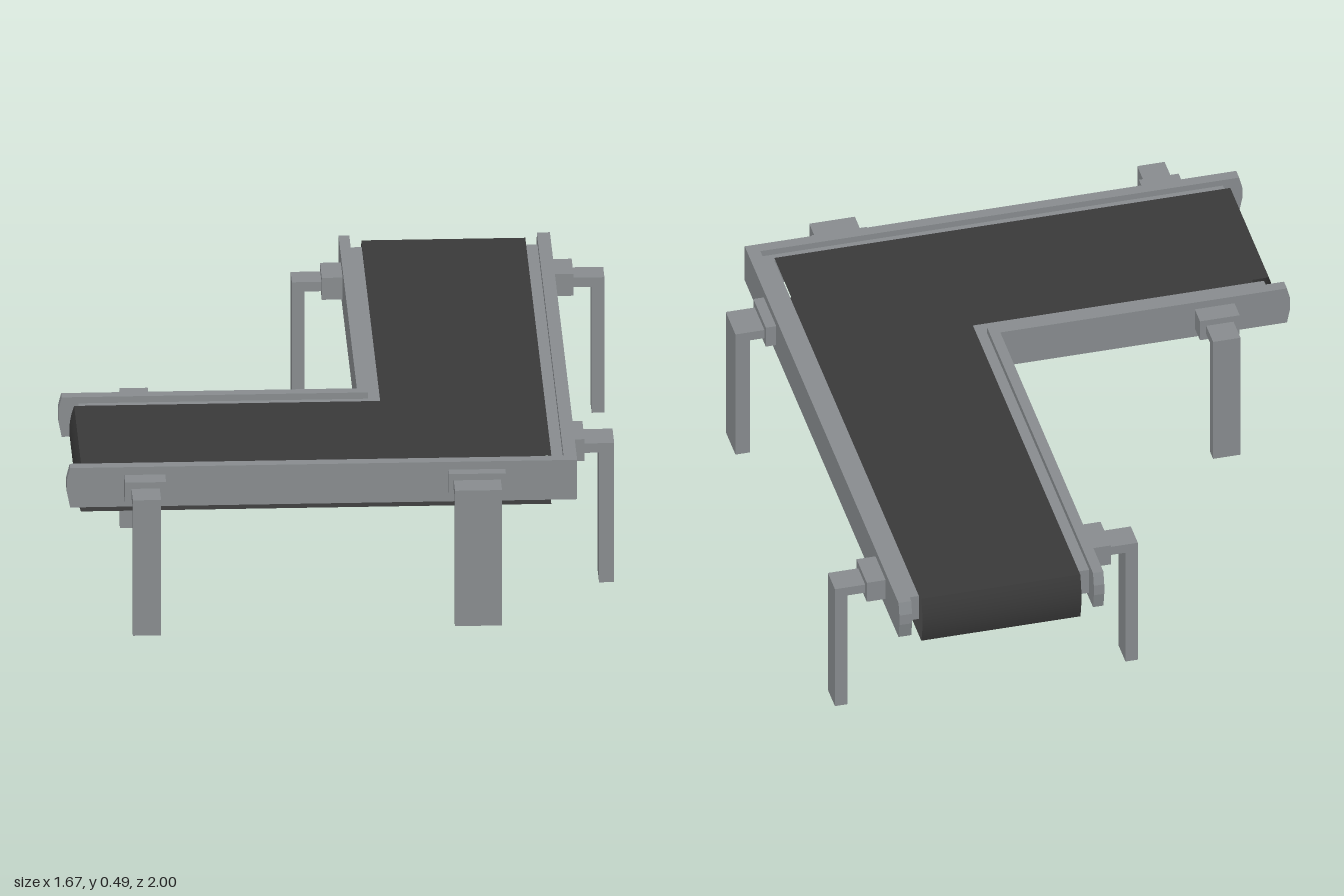
import * as THREE from 'three';

const frameGrey = new THREE.MeshStandardMaterial({ color: 0x888c8f });
frameGrey.name = 'frame grey';
const beltBlack = new THREE.MeshStandardMaterial({ color: 0x393939, side: THREE.DoubleSide });
beltBlack.name = 'belt black';

function add(parent, name, geometry, material) {
  const mesh = new THREE.Mesh(geometry, material);
  mesh.name = name;
  parent.add(mesh);
  return mesh;
}

// Box given by its minimum and maximum corners
function box(parent, name, [x0, y0, z0], [x1, y1, z1]) {
  const g = new THREE.BoxGeometry(x1 - x0, y1 - y0, z1 - z0);
  g.translate((x0 + x1) / 2, (y0 + y1) / 2, (z0 + z1) / 2);
  return add(parent, name, g, frameGrey);
}

// Rail along x or z from start to end, across from a to b, with a bulged start face
function rail(parent, name, axis, start, end, a, b) {
  const y0 = 0.364, y1 = 0.49, bulge = 0.01;
  const shape = new THREE.Shape([
    [start + bulge, y0], [end, y0], [end, y1], [start + bulge, y1], [start, 0.45], [start, 0.415],
  ].map(([u, v]) => new THREE.Vector2(u, v)));
  const g = new THREE.ExtrudeGeometry(shape, { depth: b - a, bevelEnabled: false });
  if (axis === 'x') g.translate(0, 0, a);
  else g.rotateY(-Math.PI / 2).translate(b, 0, 0);
  return add(parent, name, g, frameGrey);
}

// Bracket, outrigger arm and leg, pointing along local +z away from the rail
function support(parent, name, x, z, turn, s) {
  const group = new THREE.Group();
  group.name = name;
  const bw = s.bracketWidth / 2, lw = s.legWidth / 2, inner = s.reach - s.thickness;
  box(group, 'bracket', [-bw, 0.395, 0], [bw, 0.465, s.bracketDepth]);
  box(group, 'arm', [-lw, 0.415, s.bracketDepth], [lw, 0.445, inner]);
  box(group, 'leg', [-lw, s.foot, inner], [lw, 0.445, s.reach]);
  group.position.set(x, 0, z);
  group.rotation.y = turn;
  parent.add(group);
}

// Open-sided belt loop: upper run, lower run and a rounded turn at each end
function belt(parent) {
  const top = 0.48, bottom = 0.325, height = top - bottom, bulge = 0.014;
  const outline = [[-0.79, 0.32], [0.122, 0.32], [0.122, -0.974], [0.61, -0.974], [0.61, 0.78], [-0.79, 0.78]];
  const run = (sign) => new THREE.ShapeGeometry(
    new THREE.Shape(outline.map(([x, z]) => new THREE.Vector2(x, sign * z))));
  add(parent, 'upperBelt', run(-1).rotateX(-Math.PI / 2).translate(0, top, 0), beltBlack);
  add(parent, 'lowerBelt', run(1).rotateX(Math.PI / 2).translate(0, bottom, 0), beltBlack);

  const turnOver = (name, width, x, z, angle) => {
    const g = new THREE.PlaneGeometry(width, height, 1, 8);
    const p = g.attributes.position;
    for (let i = 0; i < p.count; i++) p.setZ(i, bulge * (1 - (2 * p.getY(i) / height) ** 2));
    g.computeVertexNormals();
    g.rotateY(angle).translate(x, (top + bottom) / 2, z);
    add(parent, name, g, beltBlack);
  };
  turnOver('longBeltEnd', 0.488, 0.366, -0.974, Math.PI);
  turnOver('crossBeltEnd', 0.46, -0.79, 0.55, -Math.PI / 2);
}

export function createModel() {
  const model = new THREE.Group();
  model.name = 'cornerConveyor';

  // Side rails
  rail(model, 'frontRail', 'x', -0.835, 0.645, 0.81, 0.845);
  rail(model, 'innerCrossRail', 'x', -0.835, 0.055, 0.24, 0.275);
  rail(model, 'outerLongRail', 'z', -1, 0.845, 0.645, 0.684);
  rail(model, 'innerLongRail', 'z', -1, 0.275, 0.055, 0.087);

  // Ledges between rails and belt
  const lo = 0.385, hi = 0.47;
  box(model, 'frontLedge', [-0.775, lo, 0.78], [0.645, hi, 0.81]);
  box(model, 'innerCrossLedge', [-0.775, lo, 0.275], [0.122, hi, 0.32]);
  box(model, 'outerLongLedge', [0.61, lo, -0.945], [0.645, hi, 0.78]);
  box(model, 'innerLongLedge', [0.087, lo, -0.945], [0.122, hi, 0.275]);

  belt(model);

  // Supports
  const slim = {
    bracketWidth: 0.122, bracketDepth: 0.062, legWidth: 0.084, reach: 0.155, thickness: 0.038, foot: 0.012,
  };
  const q = Math.PI / 2;
  support(model, 'frontEndSupport', -0.603, 0.845, 0, slim);
  support(model, 'innerCrossSupport', -0.603, 0.24, 2 * q, { ...slim, reach: 0.145 });
  support(model, 'outerEndSupport', 0.68, -0.776, q, slim);
  support(model, 'innerLongSupport', 0.055, -0.776, -q, { ...slim, reach: 0.15 });
  const wide = { bracketDepth: 0.036, thickness: 0.045 };
  support(model, 'frontCornerSupport', 0.385, 0.845, 0,
    { ...wide, bracketWidth: 0.17, legWidth: 0.14, reach: 0.12, foot: 0.012 });
  support(model, 'sideCornerSupport', 0.68, 0.543, q,
    { ...wide, bracketWidth: 0.148, legWidth: 0.116, reach: 0.125, foot: 0 });

  return model;
}
